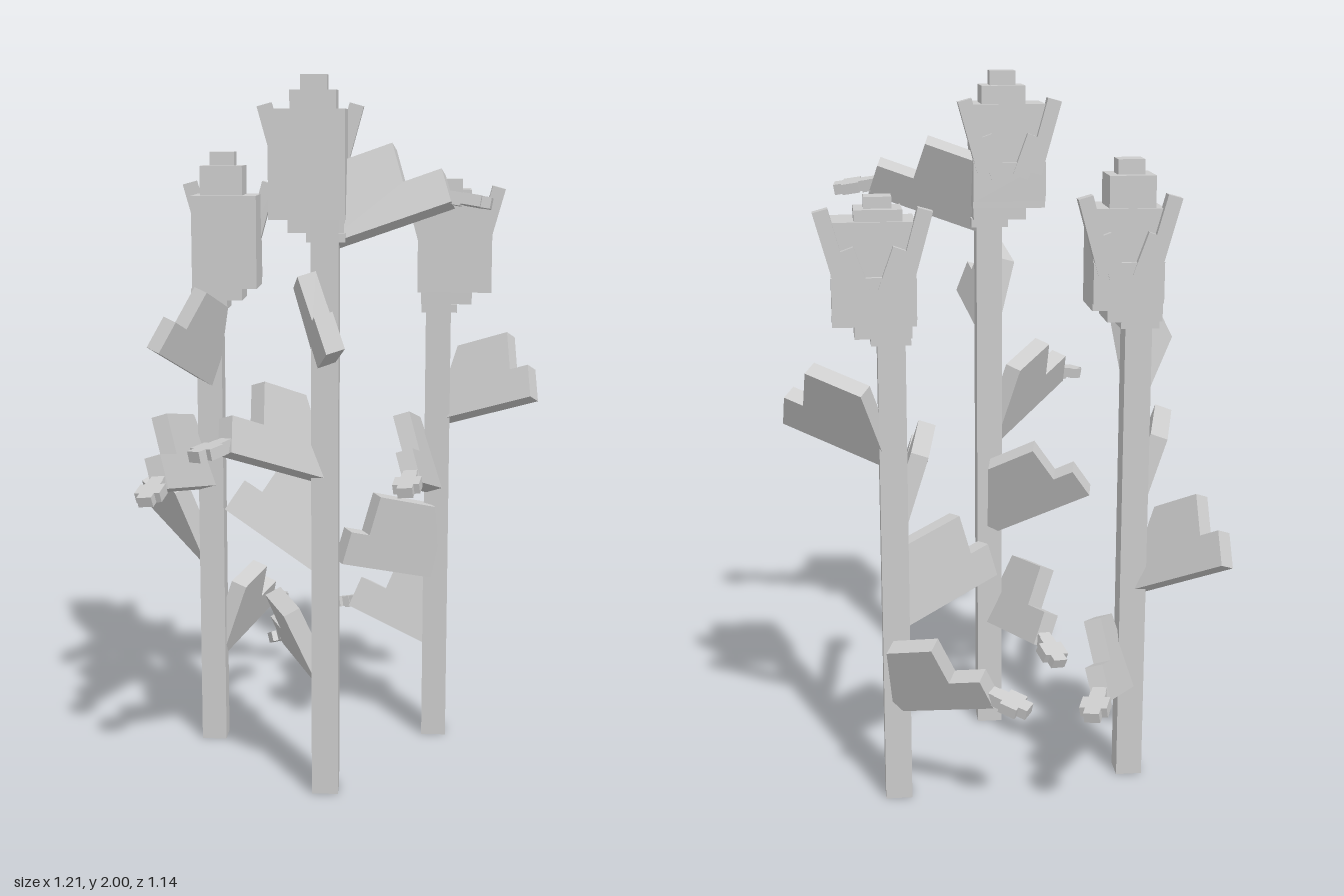
import * as THREE from 'three';

const material = new THREE.MeshStandardMaterial({ color: 0xcccccc, flatShading: true });

// Box given by its minimum and maximum corners
function box(parent, name, [x0, y0, z0], [x1, y1, z1]) {
  const mesh = new THREE.Mesh(new THREE.BoxGeometry(x1 - x0, y1 - y0, z1 - z0), material);
  mesh.position.set((x0 + x1) / 2, (y0 + y1) / 2, (z0 + z1) / 2);
  mesh.name = name;
  parent.add(mesh);
  return mesh;
}

// Stepped leaf plate; its lower edge runs from start to end and it leans sideways
function leaf(start, end, roll, hasTip) {
  const group = new THREE.Group();
  group.name = 'leaf';
  const dir = new THREE.Vector3(...end).sub(new THREE.Vector3(...start));
  const L = dir.length();
  const pitch = Math.asin(dir.y / L);
  const step = L * (hasTip ? 0.7 : 0.82);
  const inner = 0.03 + 0.22 * Math.tan(pitch);
  const shape = new THREE.Shape([
    [0, 0], [L, 0], [L, 0.1], [step, 0.1], [step, 0.22], [inner, 0.22],
  ].map(([x, y]) => new THREE.Vector2(x, y)));
  const geometry = new THREE.ExtrudeGeometry(shape, { depth: 0.05, bevelEnabled: false });
  geometry.translate(0, 0, -0.025);
  const plate = new THREE.Mesh(geometry, material);
  plate.name = 'leafBlade';
  group.add(plate);

  group.position.set(...start);
  group.rotation.order = 'YZX';
  group.rotation.set(roll, Math.atan2(-dir.z, dir.x), pitch);

  // Small drooping cross at the end of the longer leaves
  if (hasTip) {
    const tip = new THREE.Group();
    tip.name = 'leafTip';
    tip.position.set(L, 0.025, 0);
    tip.rotation.set(-roll * 0.7, 0, -0.5);
    box(tip, 'tipNeck', [-0.01, -0.02, -0.02], [0.03, 0.015, 0.02]);
    box(tip, 'tipLength', [0.01, -0.015, -0.022], [0.11, 0.015, 0.022]);
    box(tip, 'tipWidth', [0.035, -0.015, -0.038], [0.085, 0.015, 0.038]);
    group.add(tip);
  }
  return group;
}

// Bud: body, stacked crown, tapered underside and splayed sepals at the back
function bud({ x, z, w, d, bottom, top, crown, crownX, stemX }) {
  const group = new THREE.Group();
  group.name = 'bud';
  const [h1, h2] = crown;
  const hw = w / 2;
  const cz = z - d / 2 - 0.01;
  box(group, 'budBody', [x - hw, bottom, z - d], [x + hw, top, z]);
  box(group, 'crownLower', [crownX - 0.062, top, cz - 0.06], [crownX + 0.062, h1, cz + 0.06]);
  box(group, 'crownUpper', [crownX - 0.036, h1, cz - 0.033], [crownX + 0.036, h2, cz + 0.033]);

  const under = (x + stemX) / 2;
  box(group, 'underUpper', [under - 0.075, bottom - 0.035, z - 0.14], [under + 0.075, bottom, z - 0.005]);
  box(group, 'underLower', [stemX - 0.05, bottom - 0.06, z - 0.11], [stemX + 0.055, bottom - 0.035, z - 0.002]);

  box(group, 'backSepal', [x - hw, bottom + 0.02, z - d - 0.015], [x + hw, bottom + 0.13, z - d + 0.02]);
  for (const side of [-1, 1]) {
    const outer = box(group, 'outerSepal', [-0.02, 0, -0.018], [0.02, 0.21, 0.018]);
    outer.geometry.translate(0, 0.105, 0);
    outer.position.set(x + side * (hw - 0.032), bottom + 0.1, z - d);
    outer.rotation.z = -side * 0.27;
    const inner = box(group, 'innerSepal', [-0.022, 0, -0.015], [0.022, 0.12, 0.015]);
    inner.geometry.translate(0, 0.06, 0);
    inner.position.set(x + side * 0.03, bottom + 0.09, z - d - 0.003);
    inner.rotation.z = -side * 0.35;
  }
  return group;
}

// Each leaf: height at the stem, outer end of its lower edge, lean angle, tip or none
const flowers = [
  {
    name: 'tallFlower', stem: [0, 0.212],
    bud: { x: -0.048, z: 0.25, w: 0.205, d: 0.16, bottom: 1.62, top: 1.91, crown: [1.96, 2.0], crownX: -0.033 },
    leaves: [
      [1.22, [0.045, 1.305, 0.52], 0.3, false],
      [0.90, [-0.245, 1.03, 0.48], 0.32, true],
      [1.54, [0.34, 1.66, 0.245], -0.45, true],
      [0.62, [-0.29, 0.78, 0.075], 0.45, false],
      [0.32, [-0.125, 0.35, -0.075], -0.42, true],
    ],
  },
  {
    name: 'rightFlower', stem: [-0.367, -0.187],
    bud: { x: -0.32, z: -0.147, w: 0.19, d: 0.155, bottom: 1.395, top: 1.665, crown: [1.75, 1.79], crownX: -0.33 },
    leaves: [
      [0.55, [-0.59, 0.70, -0.41], -0.42, false],
      [0.26, [-0.24, 0.345, -0.47], 0.32, true],
      [0.79, [-0.465, 0.86, 0.18], 0.32, true],
      [1.10, [-0.50, 1.24, 0.06], -0.3, false],
    ],
  },
  {
    name: 'leftFlower', stem: [0.308, -0.263],
    bud: { x: 0.354, z: -0.225, w: 0.218, d: 0.155, bottom: 1.38, top: 1.65, crown: [1.68, 1.71], crownX: 0.34 },
    leaves: [
      [0.98, [0.59, 1.08, -0.13], -0.45, false],
      [0.27, [0.045, 0.345, -0.435], 0.42, true],
      [0.77, [0.24, 0.87, 0.1], 0.32, true],
      [0.50, [0.02, 0.59, -0.09], -0.1, false],
    ],
  },
];

export function createModel() {
  const model = new THREE.Group();
  model.name = 'flowers';
  for (const f of flowers) {
    const group = new THREE.Group();
    group.name = f.name;
    const [sx, sz] = f.stem;
    box(group, 'stem', [sx - 0.037, 0, sz - 0.037], [sx + 0.037, f.bud.bottom, sz + 0.037]);
    group.add(bud({ ...f.bud, stemX: sx }));
    for (const [y, end, roll, hasTip] of f.leaves) {
      group.add(leaf([sx, y, sz], end, roll, hasTip));
    }
    model.add(group);
  }
  return model;
}
